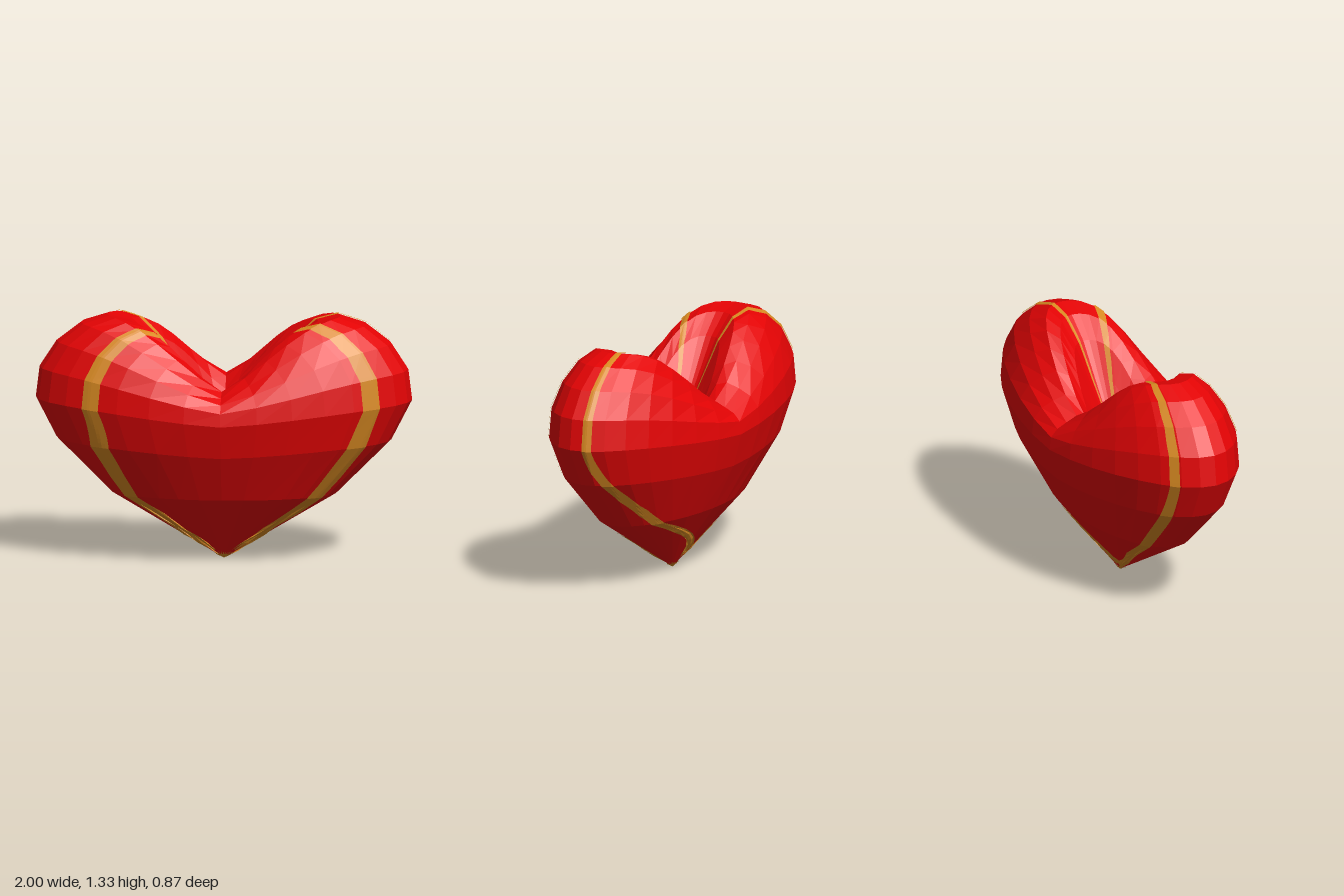
import * as THREE from 'three';

const SIDES = 32;
const DEPTH = 0.435;
// Rings from the bottom tip over the lobes into the dip:
// [radius, height on the x axis, height on the z axis]
const RINGS = [
  [0, 0, 0], [0.6, 0.36, 0.36], [0.89, 0.65, 0.61], [1, 0.865, 0.79],
  [0.98, 1.03, 0.86], [0.89, 1.17, 0.9], [0.76, 1.27, 0.925], [0.62, 1.315, 0.95],
  [0.5, 1.285, 0.94], [0.38, 1.18, 0.88], [0.26, 1.01, 0.8], [0.13, 0.83, 0.73], [0, 0.7, 0.7],
];
const LAST = RINGS.length - 1;

// Corner of the faceted body: column i around, ring j
function corner(i, j) {
  const a = (i / SIDES) * Math.PI * 2;
  const [r, yx, yz] = RINGS[j];
  const c = Math.abs(Math.cos(a));
  const lift = (Math.sin((c * Math.PI) / 2) + THREE.MathUtils.smoothstep(c, 0, 1)) / 2;
  return new THREE.Vector3(r * Math.cos(a), yz + (yx - yz) * lift, DEPTH * r * Math.sin(a));
}

// Any point on the flat facets between the corners
function onBody(u, v) {
  const i = Math.floor(u), j = Math.min(Math.floor(v), LAST - 1);
  const fu = u - i, fv = v - j;
  const right = corner(i + 1, j), up = corner(i, j + 1);
  const lower = fu + fv <= 1;
  const base = lower ? corner(i, j) : corner(i + 1, j + 1);
  const su = lower ? fu : 1 - fu, sv = lower ? fv : 1 - fv;
  const pu = lower ? right : up, pv = lower ? up : right;
  return base.clone().addScaledVector(pu.sub(base), su).addScaledVector(pv.sub(base), sv);
}

// Point raised slightly above the body
function raised(u, v, lift) {
  const e = 0.05, w = THREE.MathUtils.clamp(v, 0.1, LAST - 0.1);
  const dv = onBody(u, w + e).sub(onBody(u, w - e));
  const du = onBody(u + e, w).sub(onBody(u - e, w));
  return onBody(u, v).addScaledVector(dv.cross(du).normalize(), lift);
}

// Flat-shaded patch from a grid of points
function patch(name, material, cols, rows, point) {
  const pos = [];
  const add = (...pts) => pts.forEach((p) => pos.push(p.x, p.y, p.z));
  for (let j = 0; j < rows; j++) {
    for (let i = 0; i < cols; i++) {
      const a = point(i, j), b = point(i, j + 1), c = point(i + 1, j + 1), d = point(i + 1, j);
      if (j > 0) add(a, b, d);
      if (j < rows - 1 || j === 0) add(b, c, d);
    }
  }
  const geometry = new THREE.BufferGeometry();
  geometry.setAttribute('position', new THREE.Float32BufferAttribute(pos, 3));
  geometry.computeVertexNormals();
  const mesh = new THREE.Mesh(geometry, material);
  mesh.name = name;
  return mesh;
}

export function createModel() {
  const red = new THREE.MeshStandardMaterial({ color: 0xe40304 });
  red.name = 'red';
  const gold = new THREE.MeshStandardMaterial({ color: 0xd98a22 });
  gold.name = 'gold';

  const group = new THREE.Group();
  group.name = 'heart';
  group.add(patch('heartBody', red, SIDES, LAST, corner));

  // Gold stripes, in degrees:
  // [name, angle, width, turn below the widest ring, further turn near the tip]
  const stripes = [
    ['frontLeftStripe', 37, 8, -2, 0],
    ['frontRightStripe', 134.5, 7, 10, 0],
    ['backRightStripe', 206, 5.5, 7, 15],
    ['backLeftStripe', 348.4, 6, -33, -75],
  ];
  const STEPS = 8, COLS = 6;
  for (const [name, angle, width, turn, tipTurn] of stripes) {
    group.add(patch(name, gold, COLS, LAST * STEPS, (i, j) => {
      const v = j / STEPS;
      const t = THREE.MathUtils.clamp((3 - v) / 2, 0, 1);
      const low = Math.max(0, 1 - v);
      // The stripe spans a wider angle as the body narrows to the tip
      const spread = width * (1 + 0.7 * t + (1.2 * low) / Math.max(v, 0.25));
      const a = angle + turn * t * t + tipTurn * low + spread * (i / COLS - 0.5);
      return raised((a / 360) * SIDES, v, 0.006);
    }));
  }

  // Small gold point at the bottom
  group.add(patch('bottomTip', gold, SIDES, 2, (i, j) => (
    j === 0 ? new THREE.Vector3() : raised(i, j * 0.06, 0.004)
  )));
  return group;
}
